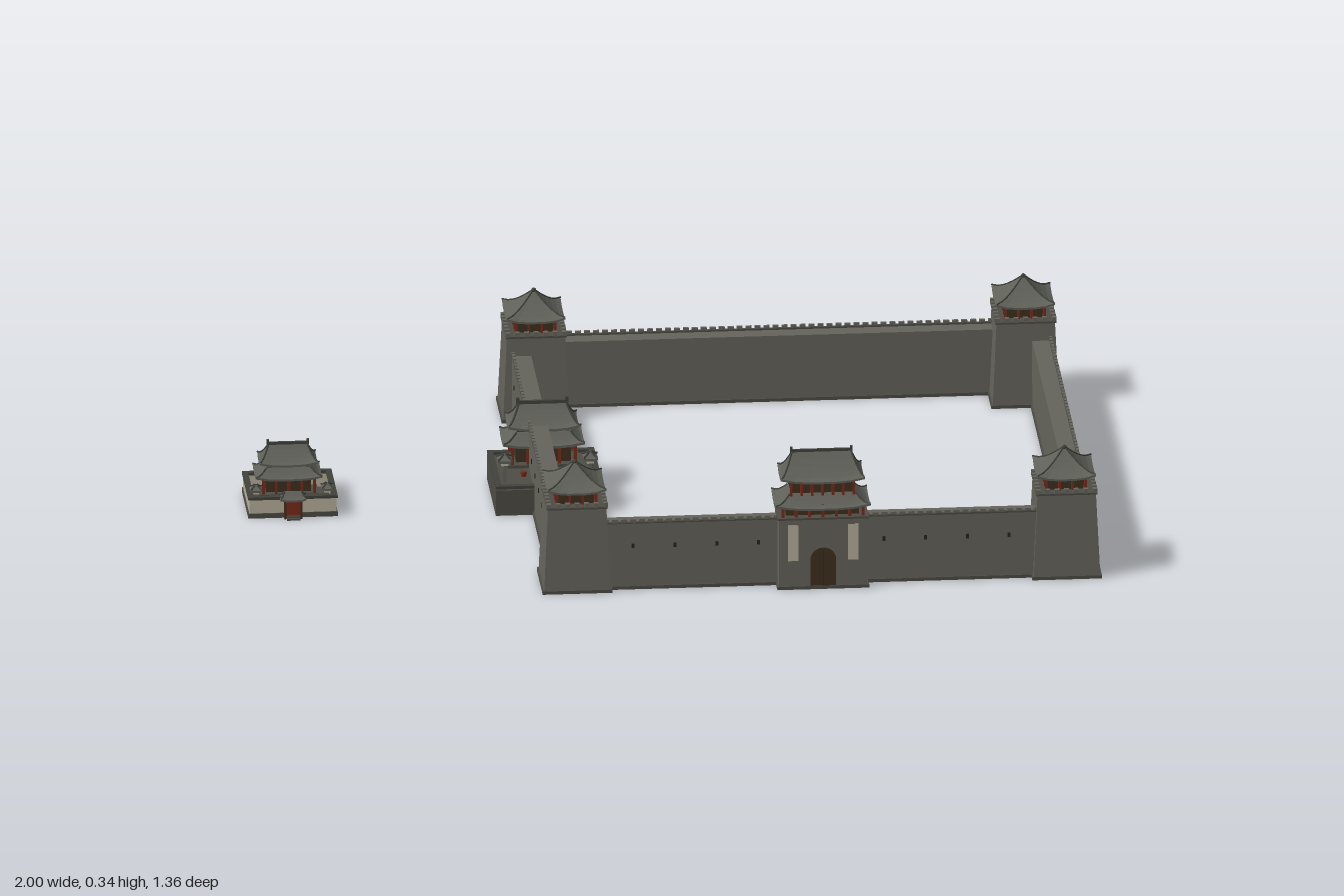
import * as THREE from 'three';
import { mergeGeometries } from 'three/addons/utils/BufferGeometryUtils.js';

const paint = (name, color) => {
  const m = new THREE.MeshStandardMaterial({ color });
  m.name = name;
  return m;
};
const M = {
  stone: paint('stone', 0x65645b),
  trim: paint('dark stone', 0x4d4c45),
  roof: paint('roof tile', 0x5f6159),
  ridge: paint('ridge tile', 0x41423c),
  red: paint('red lacquer', 0x7d2a1c),
  wood: paint('dark wood', 0x40301f),
  plaster: paint('plaster', 0xbab29c),
  hole: paint('opening', 0x26241f),
};

function add(parent, name, geo, mat, x = 0, y = 0, z = 0) {
  const mesh = new THREE.Mesh(geo, mat);
  mesh.name = name;
  mesh.position.set(x, y, z);
  parent.add(mesh);
  return mesh;
}
// Box standing on height y
const box = (parent, name, mat, w, h, d, x, y, z) =>
  add(parent, name, new THREE.BoxGeometry(w, h, d), mat, x, y + h / 2, z);
// Many equal boxes in one mesh; each spot is [x, y, z] of the bottom centre
function boxes(parent, name, mat, w, h, d, spots) {
  const geos = spots.map(([x, y, z]) => new THREE.BoxGeometry(w, h, d).translate(x, y + h / 2, z));
  return add(parent, name, mergeGeometries(geos), mat);
}
function group(parent, name, x = 0, y = 0, z = 0) {
  const g = new THREE.Group();
  g.name = name;
  g.position.set(x, y, z);
  parent.add(g);
  return g;
}

// Concave hip roof with upturned corners; W, D are eave half sizes, tw, td top half sizes
function roof(parent, name, W, D, tw, td, h, y, z = 0, lift = 0.01) {
  const g = group(parent, name, 0, y, z);
  const S = 6, T = 5, thick = 0.005, rings = [];
  const corners = [[1, 1], [1, -1], [-1, -1], [-1, 1]];
  const at = (px, pz, s, t) => [
    px * (W + (tw - W) * t), h * t ** 1.35 + lift * Math.abs(s) ** 3 * (1 - t) ** 3, pz * (D + (td - D) * t)];
  for (let k = -1; k <= T; k++) {
    const ring = [];
    corners.forEach(([ax, az], c) => {
      const [bx, bz] = corners[(c + 1) % 4];
      for (let i = 0; i < S; i++) {
        const f = i / S;
        const p = at(ax + (bx - ax) * f, az + (bz - az) * f, 2 * f - 1, Math.max(k, 0) / T);
        if (k < 0) p[1] -= thick;
        ring.push(p);
      }
    });
    rings.push(ring);
  }
  const pos = [], n = S * 4;
  const tri = (...ps) => ps.forEach((p) => pos.push(...p));
  for (let i = 0; i < n; i++) {
    const j = (i + 1) % n;
    for (let k = 0; k <= T; k++) {
      const a = rings[k], b = rings[k + 1];
      tri(a[i], a[j], b[j]);
      tri(a[i], b[j], b[i]);
    }
    tri([0, 0, 0], rings[0][j], rings[0][i]);
    tri([0, h, 0], rings[T + 1][i], rings[T + 1][j]);
  }
  const geo = new THREE.BufferGeometry();
  geo.setAttribute('position', new THREE.Float32BufferAttribute(pos, 3));
  geo.computeVertexNormals();
  add(g, 'tiles', geo, M.roof);
  // Hip ridges along the four corners
  corners.forEach(([cx, cz]) => {
    const pts = [0, 0.25, 0.5, 0.75, 1].map((t) => new THREE.Vector3(...at(cx, cz, 1, t)));
    add(g, 'hipRidge', new THREE.TubeGeometry(new THREE.CatmullRomCurve3(pts), 6, 0.0022, 5), M.ridge);
  });
  return g;
}
// Ridge beam with upturned ends
function topRidge(g, half, h) {
  box(g, 'ridgeBeam', M.ridge, half * 2, 0.007, 0.006, 0, h - 0.002, 0);
  boxes(g, 'ridgeEnds', M.ridge, 0.006, 0.013, 0.006, [[-half, h - 0.002, 0], [half, h - 0.002, 0]]);
}

// Curtain wall along x, outside facing +z
function wall(parent, name, len, x, z, turn) {
  const g = group(parent, name, x, 0, z);
  g.rotation.y = turn;
  box(g, 'wallBody', M.stone, len, 0.166, 0.046, 0, 0, 0);
  box(g, 'wallFoot', M.trim, len, 0.008, 0.054, 0, 0, 0);
  box(g, 'parapet', M.trim, len, 0.004, 0.007, 0, 0.166, 0.021);
  const merlons = [], holes = [];
  for (let u = -len / 2 + 0.01; u < len / 2; u += 0.0215) merlons.push([u, 0.168, 0.021]);
  for (let i = -5; i < 5; i++) holes.push([(i + 0.5) * 0.1, 0.104, 0.0235]);
  boxes(g, 'merlons', M.stone, 0.014, 0.009, 0.007, merlons);
  boxes(g, 'arrowHoles', M.hole, 0.007, 0.011, 0.003, holes);
}

function cornerTower(parent, x, z) {
  const g = group(parent, 'cornerTower', x, 0, z);
  const q = Math.SQRT2;
  const body = new THREE.CylinderGeometry(0.07 * q, 0.08 * q, 0.212, 4, 1).rotateY(Math.PI / 4).toNonIndexed();
  body.computeVertexNormals();
  add(g, 'towerBody', body, M.stone, 0, 0.106, 0);
  box(g, 'towerFoot', M.trim, 0.167, 0.008, 0.167, 0, 0, 0);
  box(g, 'towerDeck', M.trim, 0.146, 0.005, 0.146, 0, 0.21, 0);
  const spots = [];
  for (let i = -3; i <= 3; i++) {
    for (const s of [-0.068, 0.068]) spots.push([i * 0.0226, 0.214, s], [s, 0.214, i * 0.0226]);
  }
  boxes(g, 'towerMerlons', M.stone, 0.011, 0.011, 0.011, spots);
  box(g, 'pavilion', M.wood, 0.085, 0.04, 0.085, 0, 0.214, 0);
  const cols = [];
  for (const a of [-1, -0.33, 0.33, 1]) for (const s of [-0.047, 0.047]) cols.push([a * 0.047, 0.214, s], [s, 0.214, a * 0.047]);
  boxes(g, 'pavilionColumns', M.red, 0.006, 0.036, 0.006, cols);
  const r = roof(g, 'towerRoof', 0.07, 0.07, 0.003, 0.003, 0.055, 0.25);
  add(r, 'finial', new THREE.SphereGeometry(0.006, 8, 6), M.ridge, 0, 0.056, 0);
}

function gatehouse(parent) {
  const g = group(parent, 'gatehouse', 0.327, 0, 0.612);
  box(g, 'gateBody', M.stone, 0.212, 0.178, 0.112, 0, 0, 0);
  box(g, 'gateFoot', M.trim, 0.22, 0.008, 0.12, 0, 0, 0);
  box(g, 'gateDeck', M.trim, 0.218, 0.005, 0.118, 0, 0.176, 0);
  const arch = new THREE.Shape();
  arch.moveTo(-0.031, 0.008).lineTo(0.031, 0.008).lineTo(0.031, 0.073);
  arch.absarc(0, 0.073, 0.031, 0, Math.PI, false);
  for (const s of [1, -1]) {
    const face = group(g, 'gateFace');
    face.rotation.y = s > 0 ? 0 : Math.PI;
    add(face, 'archDoor', new THREE.ExtrudeGeometry(arch, { depth: 0.003, bevelEnabled: false }), M.wood, 0, 0, 0.055);
    box(face, 'doorGap', M.hole, 0.002, 0.09, 0.002, 0, 0.008, 0.0575);
    if (s > 0) boxes(face, 'banners', M.plaster, 0.025, 0.09, 0.003, [[-0.072, 0.072, 0.0565], [0.072, 0.072, 0.0565]]);
  }
  box(g, 'lowerHall', M.wood, 0.175, 0.04, 0.075, 0, 0.178, 0);
  const cols = [], upper = [];
  for (let i = -3; i <= 3; i++) for (const s of [-1, 1]) {
    cols.push([i * 0.032, 0.18, s * 0.05]);
    upper.push([i * 0.025, 0.225, s * 0.035]);
  }
  boxes(g, 'lowerColumns', M.red, 0.007, 0.032, 0.007, cols);
  roof(g, 'lowerRoof', 0.114, 0.063, 0.078, 0.034, 0.03, 0.205);
  box(g, 'upperHall', M.wood, 0.15, 0.05, 0.062, 0, 0.225, 0);
  boxes(g, 'upperColumns', M.red, 0.006, 0.045, 0.006, upper);
  const r = roof(g, 'upperRoof', 0.1, 0.056, 0.07, 0.002, 0.06, 0.27);
  topRidge(r, 0.072, 0.06);
}

// Two-tier hall scaled to fit its court
function hall(parent, z, k, h) {
  const g = group(parent, 'hall', 0, h, z);
  g.scale.setScalar(k);
  box(g, 'hallStep', M.trim, 0.14, 0.006, 0.085, 0, 0, 0);
  box(g, 'hallRoom', M.wood, 0.105, 0.05, 0.05, 0, 0, 0);
  const cols = [];
  for (let i = -2; i <= 2; i++) for (const s of [-1, 1]) cols.push([i * 0.03, 0.005, s * 0.035]);
  boxes(g, 'hallColumns', M.red, 0.006, 0.045, 0.006, cols);
  roof(g, 'hallLowerRoof', 0.078, 0.048, 0.052, 0.026, 0.022, 0.045, 0, 0.007);
  box(g, 'hallUpperRoom', M.wood, 0.1, 0.025, 0.046, 0, 0.06, 0);
  const r = roof(g, 'hallUpperRoof', 0.068, 0.04, 0.045, 0.002, 0.04, 0.077, 0, 0.007);
  topRidge(r, 0.047, 0.04);
}

function shrine(parent, name, x, z, hw, hd, wallTop, floor, k, wallMat) {
  const g = group(parent, name, x, 0, z);
  box(g, 'courtFloor', M.trim, hw * 2, floor, hd * 2, 0, 0, 0);
  // Court walls with tile coping
  for (const s of [-1, 1]) {
    const a = hw - 0.007, b = hd - 0.007, h = wallTop - 0.009;
    box(g, 'sideWall', wallMat, 0.009, h, hd * 2 - 0.006, s * a, 0.004, 0);
    box(g, 'endWall', wallMat, hw * 2 - 0.006, h, 0.009, 0, 0.004, s * b);
    box(g, 'sideCoping', M.ridge, 0.014, 0.007, hd * 2, s * a, wallTop - 0.007, 0);
    box(g, 'endCoping', M.ridge, hw * 2, 0.007, 0.014, 0, wallTop - 0.007, s * b);
    // Court lanterns
    const l = group(g, 'lantern', s * hw * 0.8, floor, hd * 0.55);
    l.scale.setScalar(k);
    box(l, 'lanternPost', M.stone, 0.006, 0.035, 0.006, 0, 0, 0);
    box(l, 'lanternLight', M.plaster, 0.013, 0.012, 0.013, 0, 0.035, 0);
    roof(l, 'lanternRoof', 0.014, 0.014, 0.002, 0.002, 0.012, 0.047, 0, 0.003);
    add(g, 'incensePot', new THREE.CylinderGeometry(0.008, 0.006, 0.012, 8), M.red, s * hw * 0.42, floor + 0.006, hd * 0.25);
  }
  hall(g, -0.06 * k, k, floor);
  // Entrance gate and steps
  const e = group(g, 'entranceGate', 0, Math.max(0, wallTop - 0.055), hd);
  box(e, 'gateDoor', M.red, 0.034, 0.042, 0.018, 0, 0.005, 0);
  boxes(e, 'gatePosts', M.wood, 0.005, 0.048, 0.022, [[-0.019, 0, 0], [0.019, 0, 0]]);
  roof(e, 'gateRoof', 0.031, 0.018, 0.02, 0.001, 0.017, 0.05, 0, 0.004);
  for (let i = 0; i < 3; i++) box(g, 'step', M.trim, 0.032, 0.004 * (3 - i), 0.008, 0, 0, hd + 0.004 + i * 0.007);
}

export function createModel() {
  const model = new THREE.Group();
  model.name = 'walledFort';
  wall(model, 'frontWall', 1.05, 0.325, 0.61, 0);
  wall(model, 'leftWall', 1.05, 0.95, -0.01, Math.PI / 2);
  wall(model, 'backWall', 1.05, 0.325, -0.634, Math.PI);
  wall(model, 'rightWall', 1.05, -0.295, -0.01, -Math.PI / 2);
  for (const x of [-0.26, 0.912]) for (const z of [-0.597, 0.573]) cornerTower(model, x, z);
  gatehouse(model);
  shrine(model, 'outerShrine', -0.893, -0.01, 0.107, 0.092, 0.053, 0.012, 1.02, M.plaster);
  shrine(model, 'wallShrine', -0.282, -0.013, 0.128, 0.125, 0.074, 0.064, 1.25, M.stone);
  // Stair up to the wall walk
  const n = 12;
  for (let i = 0; i < n; i++) {
    box(model, 'wallStair', M.stone, 0.016, (0.166 * (i + 1)) / n, 0.14 / n, -0.264, 0, 0.36 + (0.14 * (i + 0.5)) / n);
  }
  return model;
}
